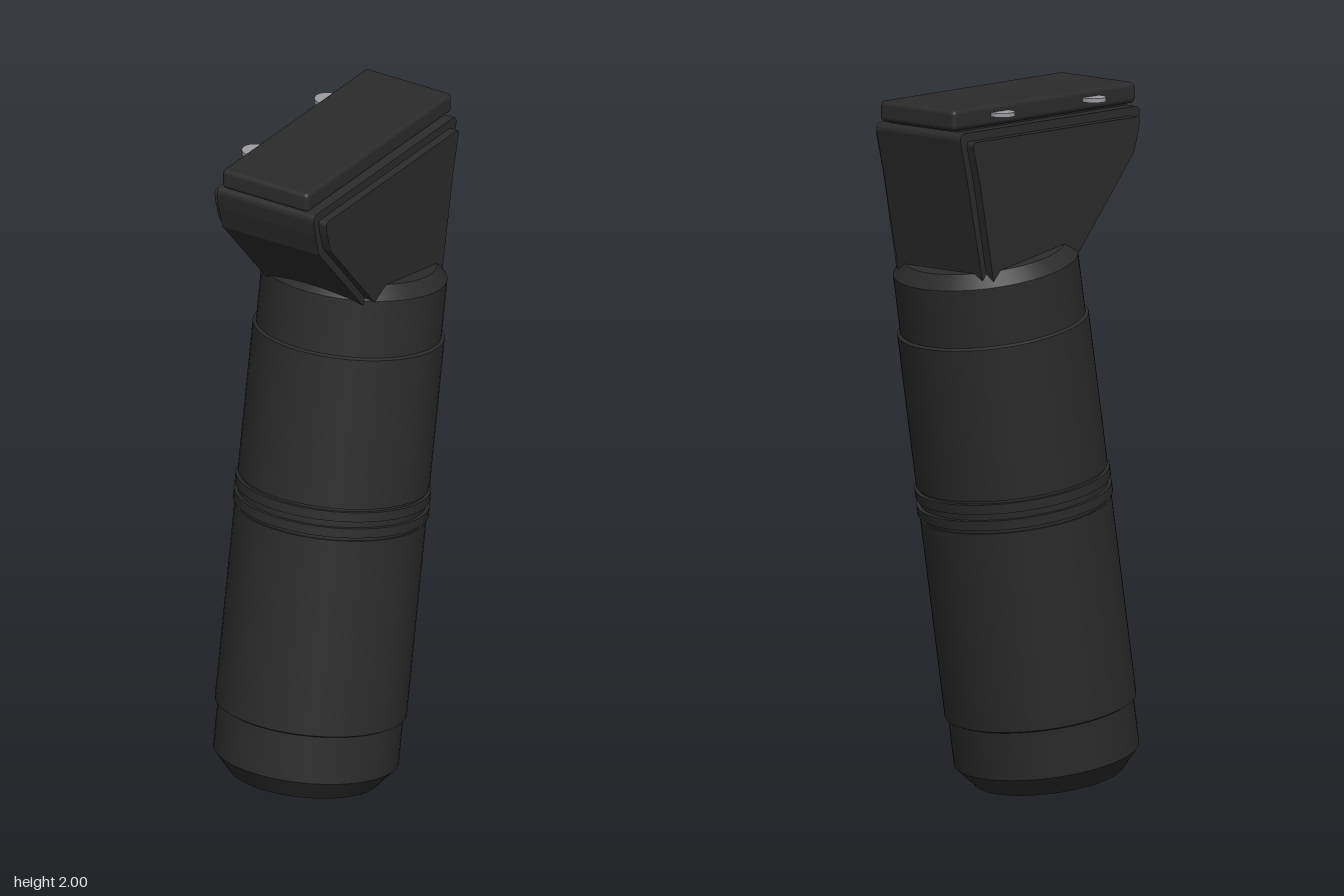
import * as THREE from 'three';
import { mergeGeometries } from 'three/addons/utils/BufferGeometryUtils.js';
import { RoundedBoxGeometry } from 'three/addons/geometries/RoundedBoxGeometry.js';

// Lathe with a hard crease at every profile point
function creasedLathe(profile) {
  const parts = [];
  for (let i = 0; i < profile.length - 1; i++) {
    const pair = [profile[i], profile[i + 1]].map(([r, y]) => new THREE.Vector2(r, y));
    parts.push(new THREE.LatheGeometry(pair, 64));
  }
  return mergeGeometries(parts);
}

// Side profile in (z, y) extruded across x, centred; the top corners are rounded
function sideExtrude(points, width, round) {
  const shape = new THREE.Shape();
  const [front, back] = [points[0], points[points.length - 1]];
  shape.moveTo(front[0], front[1] - round);
  for (const [z, y] of points.slice(1, -1)) shape.lineTo(z, y);
  shape.lineTo(back[0], back[1] - round);
  shape.quadraticCurveTo(back[0], back[1], back[0] + round, back[1]);
  shape.lineTo(front[0] - round, front[1]);
  shape.quadraticCurveTo(front[0], front[1], front[0], front[1] - round);
  const geo = new THREE.ExtrudeGeometry(shape, { depth: width, bevelEnabled: false, curveSegments: 5 });
  return geo.translate(0, 0, -width / 2).rotateY(-Math.PI / 2);
}

export function createModel() {
  const model = new THREE.Group();
  const black = new THREE.MeshStandardMaterial({ color: 0x2b2b2b });
  black.name = 'black polymer';
  const steel = new THREE.MeshStandardMaterial({ color: 0x9c9ca2 });
  steel.name = 'light steel';

  const add = (parent, name, geo, mat = black) => {
    const mesh = new THREE.Mesh(geo, mat);
    mesh.name = name;
    parent.add(mesh);
    return mesh;
  };

  // Tilted round grip
  const grip = new THREE.Group();
  grip.name = 'grip';
  grip.position.set(0, 0.038, 0.148);
  grip.rotation.x = -THREE.MathUtils.degToRad(10);
  model.add(grip);

  add(grip, 'gripBody', creasedLathe([
    [0, 0], [0.213, 0], [0.263, 0.06], [0.263, 0.2], [0.272, 0.205],
    [0.272, 0.79], [0.266, 0.79], [0.266, 0.885], [0.272, 0.885],
    [0.272, 1.33], [0.263, 1.335], [0.263, 1.505], [0.23, 1.543], [0, 1.543],
  ]));

  // Raised rings round the middle
  for (const y of [0.815, 0.863]) {
    add(grip, 'gripRing', creasedLathe([
      [0.262, y - 0.014], [0.277, y - 0.014], [0.277, y + 0.014], [0.262, y + 0.014],
    ]));
  }

  // Flared head
  const head = new THREE.Group();
  head.name = 'head';
  model.add(head);
  add(head, 'headBlock', sideExtrude([
    [0.348, 1.935], [0.34, 1.87], [0.32, 1.8], [0.1, 1.55],
    [0.08, 1.53], [-0.298, 1.5], [-0.36, 1.79], [-0.39, 1.935],
  ], 0.325, 0.02));

  // Raised panels on both sides, inset from the outline of the head
  add(head, 'sidePanels', sideExtrude([
    [0.322, 1.91], [0.317, 1.87], [0.298, 1.81], [0.085, 1.565],
    [0.06, 1.54], [-0.28, 1.505], [-0.336, 1.79], [-0.364, 1.91],
  ], 0.375, 0.012));

  // Rail clamp on top, joined by a thin neck
  add(head, 'clampNeck', new THREE.BoxGeometry(0.26, 0.03, 0.7).translate(0, 1.935, -0.02));
  add(head, 'clampCap', new RoundedBoxGeometry(0.29, 0.06, 0.75, 3, 0.014).translate(0, 1.97, -0.022));

  // Screws on the right edge of the clamp
  for (const z of [-0.21, 0.166]) {
    add(head, 'clampScrew', new THREE.CylinderGeometry(0.036, 0.036, 0.012, 24).translate(-0.155, 1.973, z), steel);
  }

  return model;
}
